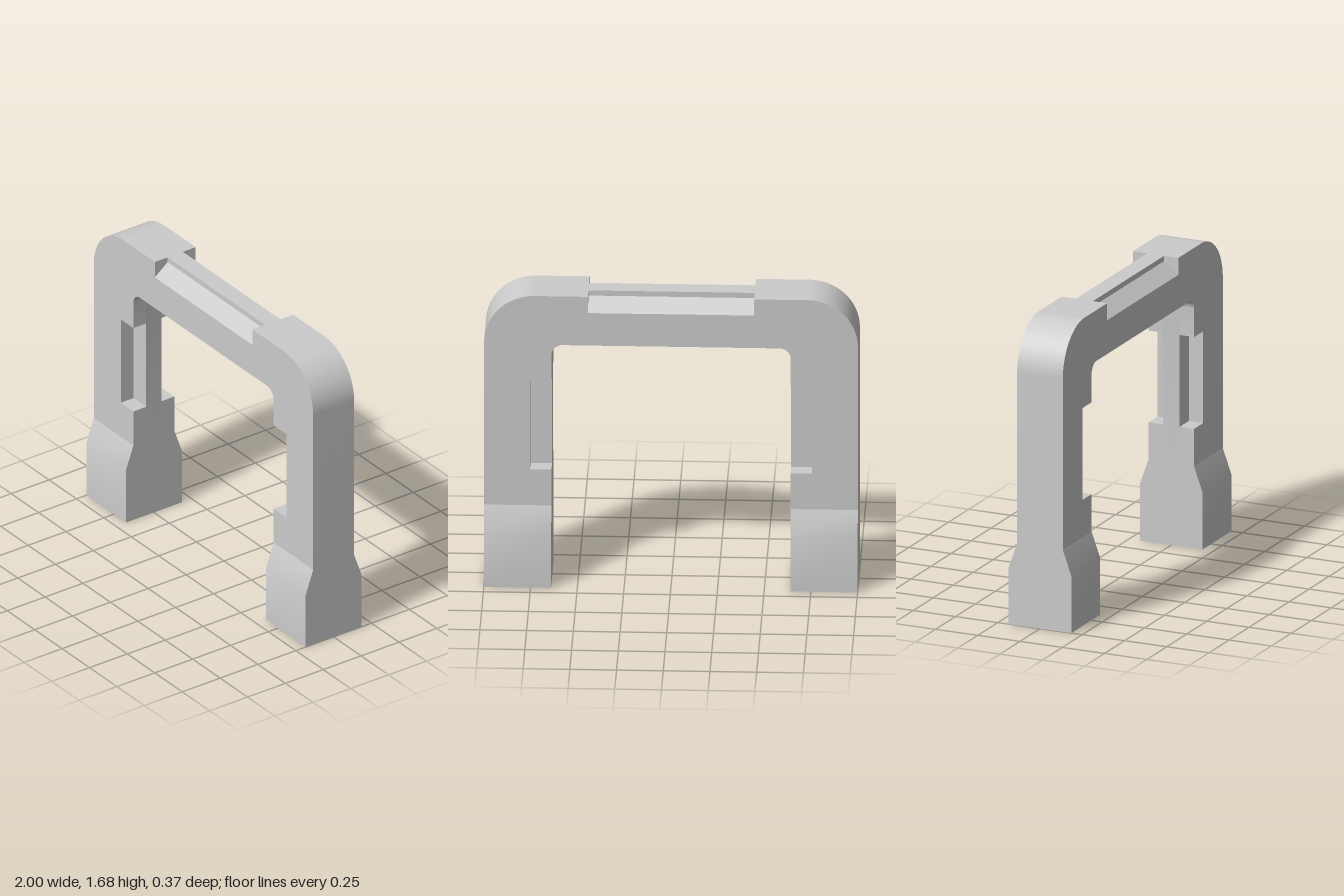
import * as THREE from 'three';
import { toCreasedNormals } from 'three/addons/utils/BufferGeometryUtils.js';

const TOP = 1.685, OUT = 1, INN = 0.64, UNDER = 1.4;  // arch outline
const R_OUT = 0.27, R_IN = 0.06;
const ANKLE = 0.46;                                   // where the feet begin to flare
const CORE = 0.05, HALF = 0.135, FOOT = 0.185;        // half depths

const material = new THREE.MeshStandardMaterial({ color: 0xcccccc });

function extrude(shape, depth) {
  const g = new THREE.ExtrudeGeometry(shape, { depth, bevelEnabled: false, curveSegments: 18 });
  return toCreasedNormals(g, 0.5);
}

function add(parent, name, geometry) {
  const mesh = new THREE.Mesh(geometry, material);
  mesh.name = name;
  parent.add(mesh);
  return mesh;
}

// Front outline of the arch; the cheeks have pockets at the top and inside the legs
function archShape(pockets) {
  const s = new THREE.Shape();
  s.moveTo(OUT, ANKLE);
  s.lineTo(OUT, TOP - R_OUT);
  s.absarc(OUT - R_OUT, TOP - R_OUT, R_OUT, 0, Math.PI / 2);
  if (pockets) {
    s.lineTo(0.445, TOP);
    s.lineTo(0.445, 1.59);
    s.lineTo(-0.445, 1.59);
    s.lineTo(-0.445, TOP);
  }
  s.lineTo(-OUT + R_OUT, TOP);
  s.absarc(-OUT + R_OUT, TOP - R_OUT, R_OUT, Math.PI / 2, Math.PI);
  s.lineTo(-OUT, ANKLE);
  s.lineTo(-INN, ANKLE);
  if (pockets) {
    s.lineTo(-INN, 0.67);
    s.lineTo(-0.755, 0.67);
    s.lineTo(-0.755, 1.185);
    s.lineTo(-INN, 1.185);
  }
  s.lineTo(-INN, UNDER - R_IN);
  s.absarc(-INN + R_IN, UNDER - R_IN, R_IN, Math.PI, Math.PI / 2, true);
  s.lineTo(INN - R_IN, UNDER);
  s.absarc(INN - R_IN, UNDER - R_IN, R_IN, Math.PI / 2, 0, true);
  if (pockets) {
    s.lineTo(INN, 1.185);
    s.lineTo(0.755, 1.185);
    s.lineTo(0.755, 0.67);
    s.lineTo(INN, 0.67);
  }
  s.lineTo(INN, ANKLE);
  s.closePath();
  return s;
}

// Side profile (z, y) extruded along x, centred on x = 0
function alongX(points, width) {
  const shape = new THREE.Shape(points.map(([z, y]) => new THREE.Vector2(-z, y)));
  const g = extrude(shape, width);
  g.translate(0, 0, -width / 2);
  g.rotateY(Math.PI / 2);
  return g;
}

export function createModel() {
  const model = new THREE.Group();
  model.name = 'archFrame';

  // Full middle layer
  const core = extrude(archShape(false), CORE * 2);
  core.translate(0, 0, -CORE);
  add(model, 'archCore', core);

  // Pocketed cheek and sloping ledge on front and back
  const cheek = extrude(archShape(true), HALF - CORE);
  cheek.translate(0, 0, CORE);
  const ledge = alongX([[CORE, 1.59], [HALF, 1.59], [CORE, 1.655]], 0.89);
  for (const [side, turn] of [['front', 0], ['back', Math.PI]]) {
    const face = new THREE.Group();
    face.name = side + 'Face';
    face.rotation.y = turn;
    add(face, side + 'Cheek', cheek);
    add(face, side + 'TopLedge', ledge);
    model.add(face);
  }

  // Flared feet
  const foot = alongX([
    [-FOOT, 0], [FOOT, 0], [FOOT, 0.32], [HALF, ANKLE], [-HALF, ANKLE], [-FOOT, 0.32],
  ], OUT - INN);
  for (const [side, sign] of [['left', 1], ['right', -1]]) {
    add(model, side + 'Foot', foot).position.x = sign * (OUT + INN) / 2;
  }
  return model;
}
